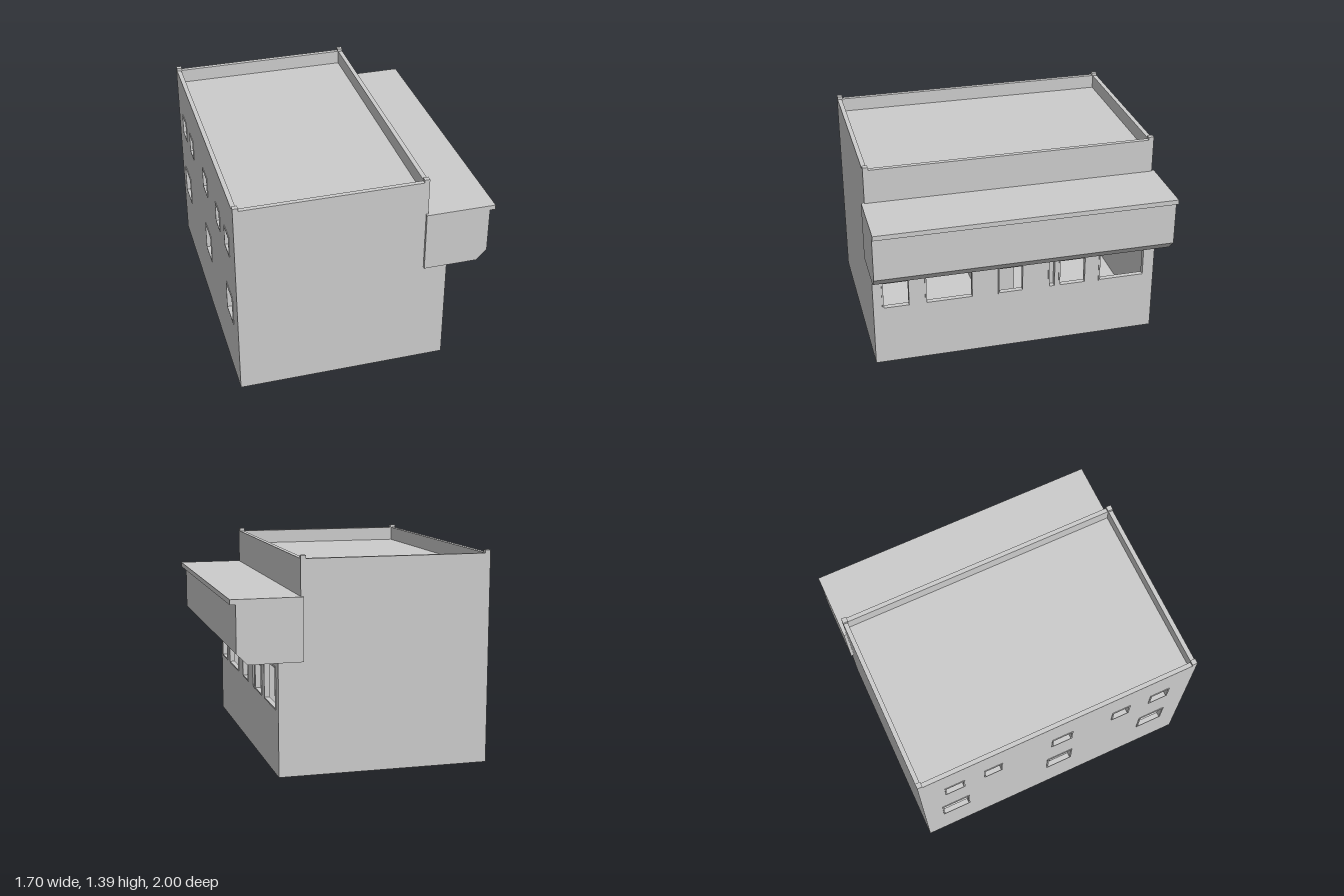
import * as THREE from 'three';

const material = new THREE.MeshStandardMaterial({ color: 0xcccccc, flatShading: true });
const T = 0.03; // wall thickness
const HALF = 0.98; // half length of the building

function polygon(points) {
  return new THREE.Shape(points.map(([x, y]) => new THREE.Vector2(x, y)));
}

function rectangle(a, b, y0, y1) {
  return polygon([[a, y0], [b, y0], [b, y1], [a, y1]]);
}

export function createModel() {
  const model = new THREE.Group();
  model.name = 'building';

  const add = (name, geometry) => {
    const mesh = new THREE.Mesh(geometry, material);
    mesh.name = name;
    model.add(mesh);
    return mesh;
  };
  const box = (name, x0, x1, y0, y1, z0, z1) => {
    const mesh = add(name, new THREE.BoxGeometry(x1 - x0, y1 - y0, z1 - z0));
    mesh.position.set((x0 + x1) / 2, (y0 + y1) / 2, (z0 + z1) / 2);
  };
  const extrude = (name, shape, depth, z) => {
    const geometry = new THREE.ExtrudeGeometry(shape, { depth, bevelEnabled: false });
    add(name, geometry).position.z = z;
  };
  // Panel in the z-y plane, extruded towards +x
  const sidePanel = (name, shape, x, depth) => {
    const geometry = new THREE.ExtrudeGeometry(shape, { depth, bevelEnabled: false });
    geometry.rotateY(Math.PI / 2);
    add(name, geometry).position.x = x;
  };
  // Opening given as [z0, z1, y0, y1]; local x is -z
  const opening = ([z0, z1, y0, y1], grow = 0) =>
    rectangle(-z1 - grow, -z0 + grow, y0 - grow, y1 + grow);

  const sideWall = (name, x, y0, y1, windows, frameX) => {
    const wall = rectangle(-HALF + T, HALF - T, y0, y1);
    wall.holes = windows.map((w) => opening(w));
    sidePanel(name, wall, x, T);
    for (const w of windows) {
      const frame = opening(w, 0.01);
      frame.holes.push(opening(w));
      sidePanel('windowFrame', frame, frameX, 0.01);
    }
  };

  // Stepped end walls
  const profile = [[-0.845, 0], [0.545, 0], [0.545, 0.735], [0.4, 0.735], [0.4, 1.375], [-0.845, 1.375]];
  extrude('frontWall', polygon(profile), T, HALF - T);
  extrude('backWall', polygon(profile), T, -HALF);

  // Lower wall under the overhang
  sideWall('leftLowerWall', 0.545 - T, 0, 0.735, [
    [0.74, 0.91, 0.43, 0.615],
    [0.31, 0.62, 0.43, 0.685],
    [-0.04, 0.12, 0.43, 0.615],
    [-0.265, -0.23, 0.43, 0.72],
    [-0.48, -0.305, 0.43, 0.615],
    [-0.9, -0.59, 0.43, 0.685],
  ], 0.54);
  box('slitBacking', 0.49, 0.515, 0.42, 0.73, -0.28, -0.215);
  box('leftUpperWall', 0.4 - T, 0.4, 0.735, 1.375, -HALF + T, HALF - T);

  // Opposite wall: three large windows below, five small ones above
  const lower = [[-0.84, -0.66], [-0.05, 0.12], [0.66, 0.83]].map((w) => [...w, 0.43, 0.62]);
  const upper = [[-0.8, -0.68], [-0.52, -0.41], [-0.03, 0.1], [0.41, 0.52], [0.69, 0.81]]
    .map((w) => [...w, 0.95, 1.08]);
  sideWall('rightWall', -0.845, 0, 1.375, [...lower, ...upper], -0.85);

  // Floors, flat roof and inner partition
  const inner = HALF - T;
  box('groundFloor', -0.815, 0.515, 0, 0.02, -inner, inner);
  box('upperFloor', -0.815, 0.515, 0.72, 0.75, -inner, inner);
  box('roof', -0.815, 0.37, 1.25, 1.28, -inner, inner);
  box('partition', -0.815, 0.4, 0.02, 0.72, -0.02, 0.12);

  // Small posts on the parapet corners
  for (const x of [-0.845, 0.365]) {
    for (const z of [-HALF, HALF - 0.035]) box('cornerPost', x, x + 0.035, 1.375, 1.395, z, z + 0.035);
  }

  // Overhanging volume with chamfered bottom edge and roof lip
  extrude('overhang', polygon([
    [0.385, 0.735], [0.74, 0.735], [0.81, 0.805], [0.81, 1.11],
    [0.846, 1.11], [0.846, 1.142], [0.385, 1.142],
  ]), 2, -1);

  return model;
}
